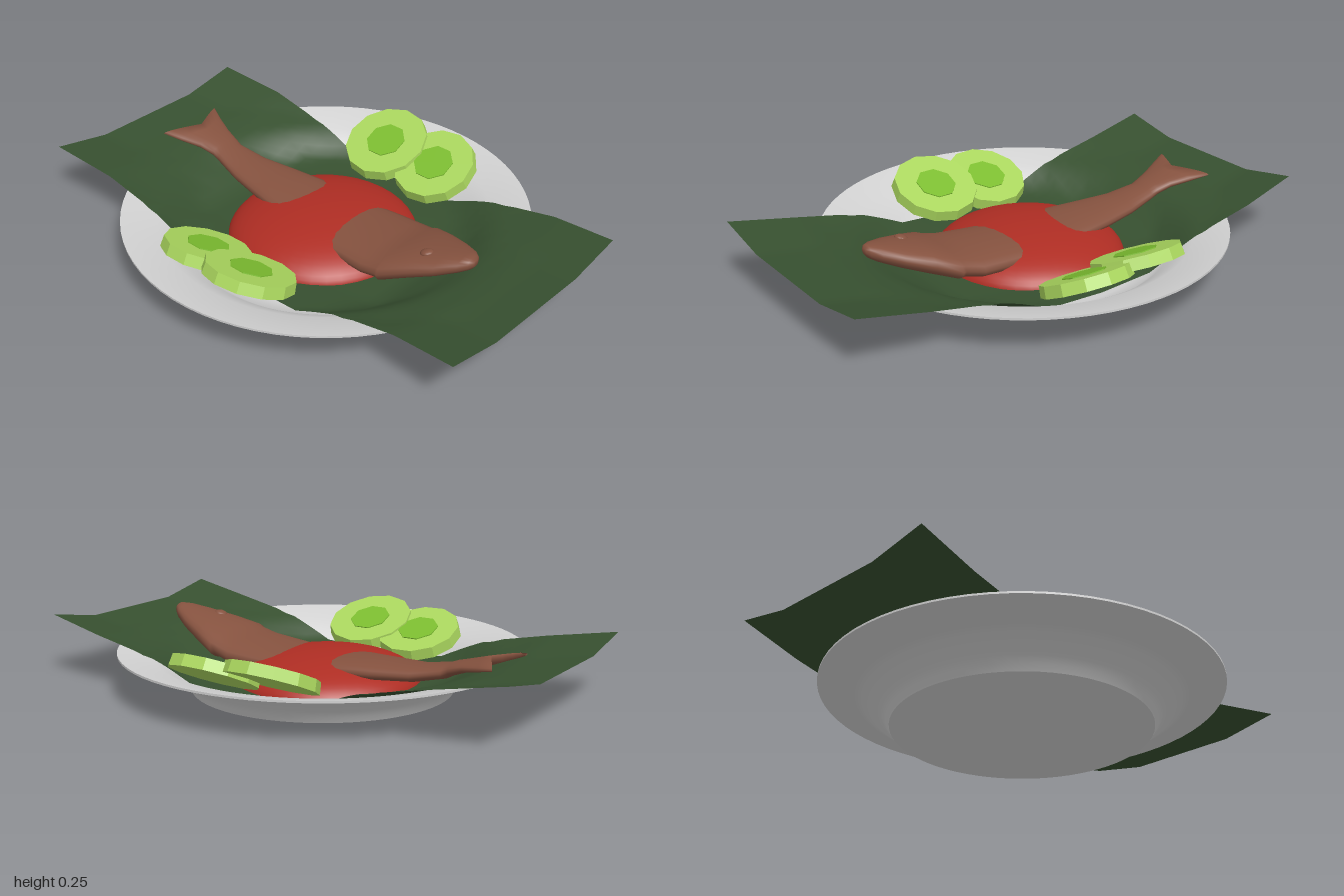
import * as THREE from 'three';
import { toCreasedNormals } from 'three/addons/utils/BufferGeometryUtils.js';

const mat = (name, color, extra = {}) => {
  const m = new THREE.MeshStandardMaterial({ color, ...extra });
  m.name = name;
  return m;
};

// piecewise linear lookup in [[t, value], ...]
function lookup(table, t) {
  for (let i = 1; i < table.length; i++) {
    const [t0, v0] = table[i - 1], [t1, v1] = table[i];
    if (t <= t1) return v0 + (v1 - v0) * Math.max(0, (t - t0) / (t1 - t0));
  }
  return table[table.length - 1][1];
}

// inner surface of the plate: radius, height
const PLATE_INNER = [[0, 0.025], [0.46, 0.025], [0.52, 0.04], [0.56, 0.075], [0.6, 0.105], [0.65, 0.135], [0.79, 0.166]];
const PLATE_OUTER = [[0, 0.006], [0.51, 0.006], [0.525, 0.03], [0.545, 0.055], [0.59, 0.082], [0.615, 0.105], [0.645, 0.12], [0.79, 0.158]];

function plateGeometry() {
  const points = [...PLATE_OUTER, ...[...PLATE_INNER].reverse()].map(([r, y]) => new THREE.Vector2(r, y));
  return toCreasedNormals(new THREE.LatheGeometry(points, 72), 0.7);
}

// leaf sheet draped over the plate, curling up at its ends and sides
function leafGeometry() {
  const middle = [[0, 0.04], [0.45, 0.05], [0.6, 0.115], [0.73, 0.168], [1, 0.205]];
  const side = [[0, 0.05], [0.36, 0.07], [0.52, 0.165], [0.73, 0.208], [1, 0.25]];
  const back = [[0, -0.475], [0.73, -0.48], [1, -0.44]];
  const front = [[0, 0.455], [0.73, 0.465], [1, 0.5]];
  const g = new THREE.PlaneGeometry(2, 1, 44, 24).rotateX(-Math.PI / 2);
  const p = g.attributes.position;
  for (let i = 0; i < p.count; i++) {
    const x = p.getX(i), v = p.getZ(i) + 0.5, ax = Math.abs(x);
    const z0 = lookup(back, ax), z = z0 + (lookup(front, ax) - z0) * v;
    const curl = Math.max(0, (Math.abs(v - 0.5) - 0.25) / 0.25);
    const y = THREE.MathUtils.lerp(lookup(middle, ax), lookup(side, ax), curl);
    p.setXYZ(i, x, Math.max(y, lookup(PLATE_INNER, Math.hypot(x, z)) + 0.013), z);
  }
  g.computeVertexNormals();
  return g;
}

// fish lofted through rings: x, back edge z, front edge z, centre y, half thickness, fork notch depth
const FISH = [
  [-0.81, -0.18, 0.11, 0.218, 0.014, 0.075],
  [-0.74, -0.15, 0.08, 0.203, 0.02, 0.04],
  [-0.66, -0.12, 0.045, 0.188, 0.022, 0],
  [-0.6, -0.108, 0.03, 0.17, 0.026, 0],
  [-0.57, -0.105, 0.03, 0.156, 0.028, 0],
  [-0.45, -0.125, 0.055, 0.132, 0.032, 0],
  [-0.3, -0.155, 0.085, 0.125, 0.036, 0],
  [-0.17, -0.175, 0.11, 0.122, 0.036, 0],
  [-0.06, -0.19, 0.13, 0.113, 0.036, 0],
  [0.08, -0.195, 0.155, 0.106, 0.04, 0],
  [0.22, -0.2, 0.16, 0.112, 0.05, 0],
  [0.32, -0.2, 0.172, 0.118, 0.052, 0],
  [0.395, -0.185, 0.175, 0.135, 0.052, 0],
  [0.41, -0.19, 0.182, 0.138, 0.06, 0],
  [0.5, -0.155, 0.142, 0.17, 0.054, 0],
  [0.6, -0.11, 0.1, 0.202, 0.043, 0],
  [0.67, -0.068, 0.055, 0.226, 0.033, 0],
  [0.7, -0.04, 0.028, 0.236, 0.024, 0],
  [0.712, -0.018, 0.008, 0.24, 0.012, 0],
];

function fishGeometry() {
  const n = 20, pos = [], idx = [];
  for (const [x, z0, z1, yc, h, notch] of FISH) {
    for (let j = 0; j < n; j++) {
      const a = (j / n) * Math.PI * 2, c = Math.cos(a), s = Math.sin(a);
      pos.push(
        x + notch * (1 - Math.abs(c)),
        yc + h * Math.sign(s) * Math.abs(s) ** 0.85,
        (z0 + z1) / 2 + ((z1 - z0) / 2) * c);
    }
  }
  const last = FISH.length - 1;
  for (let i = 0; i < last; i++) {
    for (let j = 0; j < n; j++) {
      const k = (j + 1) % n, a = i * n + j, b = a + n, c = i * n + k, d = c + n;
      idx.push(a, b, c, c, b, d);
    }
  }
  // end caps, joining opposite sides of each end ring
  const q = last * n;
  for (let j = 0; j < n / 2; j++) {
    const k = (n - j) % n, k2 = n - j - 1;
    idx.push(k, j, j + 1, k, j + 1, k2);
    idx.push(q + k, q + j + 1, q + j, q + k, q + k2, q + j + 1);
  }
  const g = new THREE.BufferGeometry();
  g.setAttribute('position', new THREE.Float32BufferAttribute(pos, 3));
  g.setIndex(idx);
  g.computeVertexNormals();
  return g;
}

export function createModel() {
  const model = new THREE.Group();
  const mats = {
    plate: mat('plate grey', 0xd2d2d2),
    leaf: mat('leaf green', 0x375030, { side: THREE.DoubleSide }),
    sauce: mat('sauce red', 0xae2d23),
    fish: mat('fish brown', 0x85523f),
    flesh: mat('cucumber flesh', 0xaad65e, { flatShading: true }),
    core: mat('cucumber core', 0x7cbd30, { flatShading: true }),
  };
  const add = (name, geometry, material, parent = model) => {
    const mesh = new THREE.Mesh(geometry, material);
    mesh.name = name;
    parent.add(mesh);
    return mesh;
  };

  add('plate', plateGeometry(), mats.plate);
  add('leaf', leafGeometry(), mats.leaf);

  // low sauce mound, closed underneath
  const mound = add('sauceMound', new THREE.SphereGeometry(1, 40, 14, 0, Math.PI * 2, 0, Math.PI / 2), mats.sauce);
  mound.scale.set(0.37, 0.125, 0.375);
  mound.position.set(-0.02, 0.034, -0.005);

  // fish with a raised eye
  const fish = new THREE.Group();
  fish.name = 'fish';
  model.add(fish);
  add('fishBody', fishGeometry(), mats.fish, fish);
  const eye = add('eye', new THREE.SphereGeometry(0.026, 16, 10), mats.fish, fish);
  eye.scale.y = 0.5;
  eye.position.set(0.53, 0.224, 0.042);
  eye.rotation.z = 0.3;

  // cucumber slices leaning on the rim: x, y, z, radius, tilt, turn
  const slices = [
    [-0.125, 0.17, -0.515, 0.178, 0.42, 0.1],
    [0.12, 0.158, -0.525, 0.172, 0.45, 0.4],
    [-0.155, 0.142, 0.485, 0.172, -0.38, 0.3],
    [0.085, 0.158, 0.5, 0.178, -0.4, 0],
  ];
  slices.forEach(([x, y, z, r, tilt, turn], i) => {
    const slice = new THREE.Group();
    slice.name = `cucumberSlice${i + 1}`;
    slice.position.set(x, y, z);
    slice.rotation.x = tilt;
    model.add(slice);
    add('sliceFlesh', new THREE.CylinderGeometry(r * 0.97, r, 0.045, 12), mats.flesh, slice).rotation.y = turn;
    const core = add('sliceCore', new THREE.CylinderGeometry(0.083, 0.083, 0.006, 8), mats.core, slice);
    core.position.y = 0.0235;
    core.rotation.y = Math.PI / 8;
  });
  return model;
}
